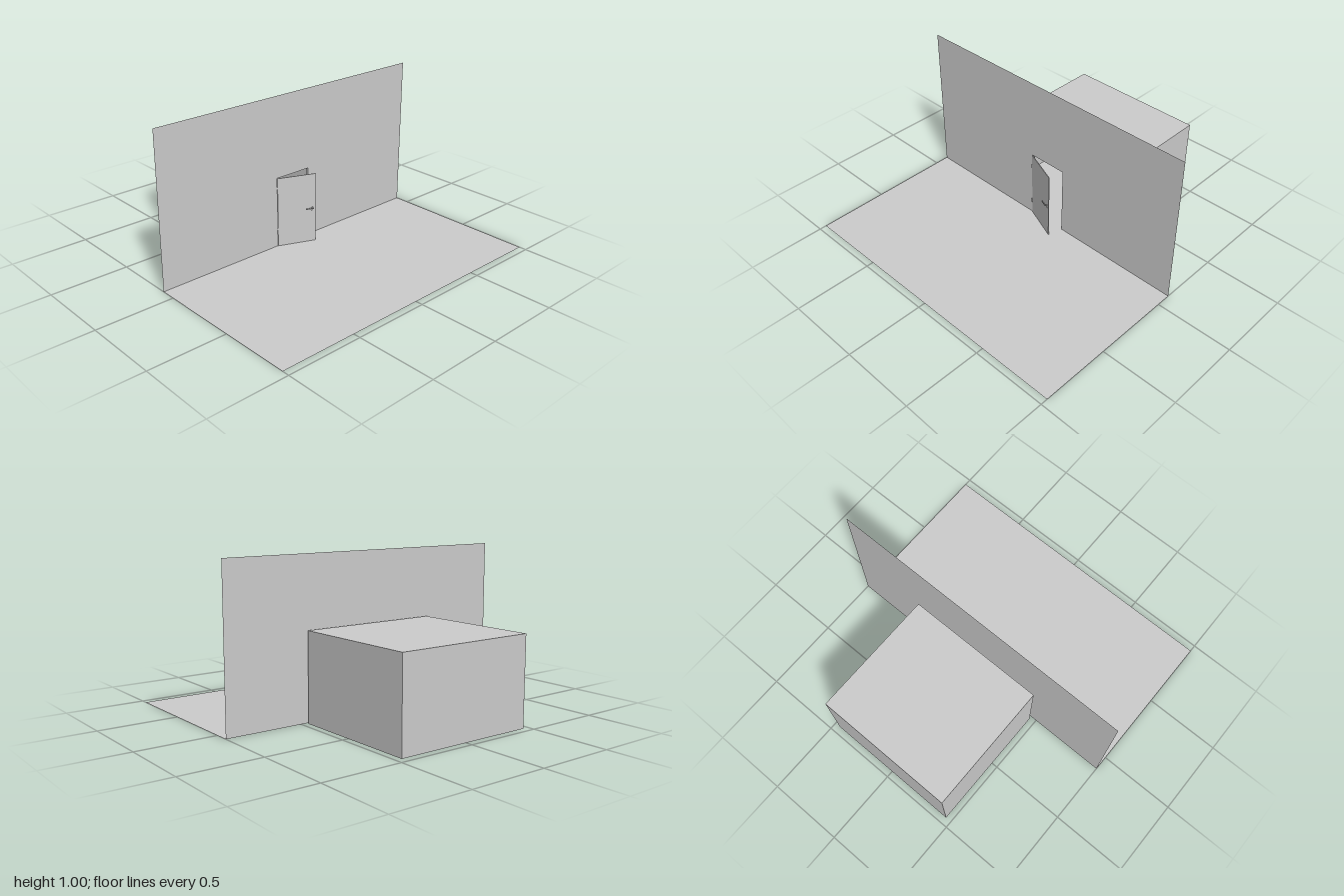
import * as THREE from 'three';

const material = new THREE.MeshStandardMaterial({ color: 0xcccccc, side: THREE.DoubleSide, flatShading: true });

const DOOR_W = 0.26, DOOR_H = 0.467;
const WALL_X = -0.095, ROOM_X = -0.115, ROOM_END = -0.955;

function add(parent, name, geometry, x = 0, y = 0, z = 0) {
  const mesh = new THREE.Mesh(geometry, material);
  mesh.name = name;
  mesh.position.set(x, y, z);
  parent.add(mesh);
  return mesh;
}

// Flat sheets: horizontal (facing up or down), across x, and across z
const horizontal = (w, d, up = 1) => new THREE.PlaneGeometry(w, d).rotateX(-up * Math.PI / 2);
const facingX = (d, h, dir = 1) => new THREE.PlaneGeometry(d, h).rotateY(dir * Math.PI / 2);
const facingZ = (w, h, dir = 1) => new THREE.PlaneGeometry(w, h).rotateY(dir > 0 ? 0 : Math.PI);

// Sheet facing +x with the doorway cut from its lower edge
function doorwaySheet(depth, height) {
  const a = depth / 2, b = DOOR_W / 2;
  const outline = [[-a, 0], [-b, 0], [-b, DOOR_H], [b, DOOR_H], [b, 0], [a, 0], [a, height], [-a, height]];
  const shape = new THREE.Shape(outline.map(([x, y]) => new THREE.Vector2(x, y)));
  return new THREE.ShapeGeometry(shape).rotateY(Math.PI / 2);
}

export function createModel() {
  const model = new THREE.Group();
  model.name = 'roomWithDoor';

  // Main floor and wall
  add(model, 'floor', horizontal(1.05, 2), WALL_X + 0.525, 0, 0);
  add(model, 'wall', doorwaySheet(2, 1), WALL_X, 0, 0);

  // Side room as a hollow shell
  const room = new THREE.Group();
  room.name = 'sideRoom';
  model.add(room);
  const roomW = ROOM_X - ROOM_END, roomD = 0.92, roomH = 0.556;
  const roomMid = (ROOM_X + ROOM_END) / 2;
  add(room, 'roomFloor', horizontal(roomW, roomD, -1), roomMid, 0, 0);
  add(room, 'roomCeiling', horizontal(roomW, roomD), roomMid, roomH, 0);
  add(room, 'roomFarWall', facingX(roomD, roomH, -1), ROOM_END, roomH / 2, 0);
  add(room, 'roomDoorWall', doorwaySheet(roomD, roomH), ROOM_X, 0, 0);
  for (const s of [-1, 1]) add(room, 'roomSideWall', facingZ(roomW, roomH, s), roomMid, roomH / 2, s * roomD / 2);

  // Lining of the doorway between the wall and the room
  const lining = new THREE.Group();
  lining.name = 'doorway';
  model.add(lining);
  const gap = WALL_X - ROOM_X, gapMid = (WALL_X + ROOM_X) / 2;
  add(lining, 'threshold', horizontal(gap, DOOR_W), gapMid, 0, 0);
  add(lining, 'lintel', horizontal(gap, DOOR_W, -1), gapMid, DOOR_H, 0);
  for (const s of [-1, 1]) add(lining, 'jamb', facingZ(gap, DOOR_H, -s), gapMid, DOOR_H / 2, s * DOOR_W / 2);

  // Door leaf swung open; local -z runs from the hinge to the free edge
  const door = new THREE.Group();
  door.name = 'door';
  door.position.set(WALL_X + 0.002, 0, 0.129);
  door.rotation.y = -0.382;
  model.add(door);
  const leafW = 0.254, thick = 0.005;
  add(door, 'doorLeaf', new THREE.BoxGeometry(thick, 0.465, leafW), 0, 0.2335, -leafW / 2);

  // Lever handle with its rose, and the keyhole cover below
  const handle = new THREE.Group();
  handle.name = 'handle';
  handle.position.set(thick / 2, 0.234, -leafW + 0.022);
  door.add(handle);
  const disc = (r, l) => new THREE.CylinderGeometry(r, r, l, 12).rotateZ(Math.PI / 2);
  add(handle, 'rose', disc(0.006, 0.002), 0.001, 0, 0);
  add(handle, 'stem', disc(0.003, 0.015), 0.0075, 0, 0);
  add(handle, 'lever', new THREE.BoxGeometry(0.004, 0.007, 0.052), 0.014, 0, 0.023);
  add(handle, 'keyholeCover', disc(0.005, 0.002), 0.001, -0.02, 0);

  // Hinges at the pivot edge
  for (const y of [0.098, 0.378]) {
    const hinge = new THREE.Group();
    hinge.name = 'hinge';
    hinge.position.set(WALL_X + 0.004, y, 0.132);
    model.add(hinge);
    for (const s of [-1, 1]) add(hinge, 'hingeKnuckle', new THREE.CylinderGeometry(0.003, 0.003, 0.013, 10), 0, s * 0.007, 0);
  }

  return model;
}
